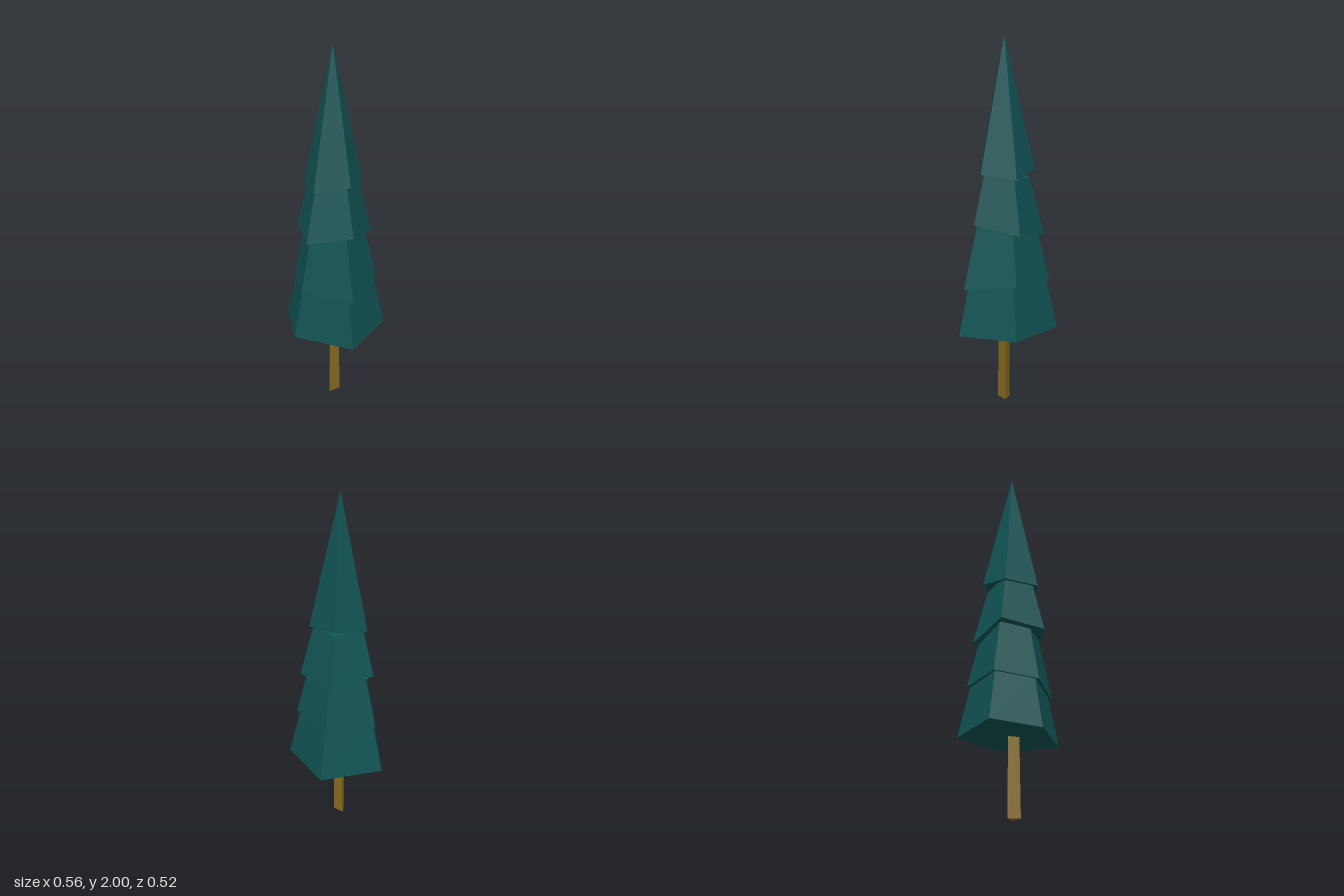
import * as THREE from 'three';

// Low-poly conifer: irregular pentagonal tiers on a three-sided trunk.
const AXIS = [0.004, 0.03]; // x, z of the tree's centre line

// Closed faceted solid between two rings (counter-clockwise seen from above).
function loft(bottom, top, material, name) {
  const pos = [];
  const tri = (...corners) => corners.forEach((c) => pos.push(...c));
  const middle = (ring) => [0, 1, 2].map((k) => ring.reduce((s, p) => s + p[k], 0) / ring.length);
  const low = middle(bottom), high = middle(top);
  bottom.forEach((a, i) => {
    const j = (i + 1) % bottom.length;
    const b = bottom[j], c = top[j], d = top[i];
    tri(a, b, c);
    tri(a, c, d);
    tri(low, b, a);
    tri(high, d, c);
  });
  const geometry = new THREE.BufferGeometry();
  geometry.setAttribute('position', new THREE.Float32BufferAttribute(pos, 3));
  geometry.computeVertexNormals();
  const mesh = new THREE.Mesh(geometry, material);
  mesh.name = name;
  return mesh;
}

// Moves each ring point towards a peak on the centre line by fraction t.
const shrink = (ring, peak, t) => ring.map(([x, y, z]) => [
  x + (AXIS[0] - x) * t, y + (peak - y) * t, z + (AXIS[1] - z) * t]);

// Lower rims: back, left, front left, front right, right; peak the sides aim at; cut fraction.
const TIERS = [
  { name: 'bottomTier', peak: 1.65, cut: 0.25, rim: [
    [0.005, 0.43, -0.26], [-0.278, 0.43, -0.055], [-0.17, 0.41, 0.198], [0.167, 0.41, 0.258], [0.277, 0.43, -0.065]] },
  { name: 'lowerTier', peak: 1.7, cut: 0.325, rim: [
    [-0.004, 0.705, -0.212], [-0.229, 0.705, -0.04], [-0.133, 0.685, 0.18], [0.163, 0.67, 0.23], [0.228, 0.715, -0.06]] },
  { name: 'upperTier', peak: 1.8, cut: 0.36, rim: [
    [-0.03, 0.945, -0.18], [-0.2, 1.01, -0.006], [-0.095, 0.98, 0.21], [0.149, 1.022, 0.173], [0.194, 0.98, -0.075]] },
  { name: 'topTier', peak: 2, cut: 1, rim: [
    [-0.025, 1.3, -0.13], [-0.155, 1.262, 0.01], [-0.062, 1.258, 0.176], [0.125, 1.288, 0.14], [0.147, 1.265, -0.053]] },
];

export function createModel() {
  const tree = new THREE.Group();
  tree.name = 'tree';
  const needles = new THREE.MeshStandardMaterial({ color: 0x115252, flatShading: true });
  const bark = new THREE.MeshStandardMaterial({ color: 0x866a1e, flatShading: true });

  // Trunk, slightly tapered and ending inside the foliage
  const foot = [[-0.022, 0, 0.005], [-0.005, 0, 0.07], [0.042, 0, 0.02]];
  const head = shrink(foot, 0, 0.15).map(([x, , z]) => [x, 0.5, z]);
  tree.add(loft(foot, head, bark, 'trunk'));

  // Foliage tiers
  for (const { name, peak, cut, rim } of TIERS) {
    tree.add(loft(rim, shrink(rim, peak, cut), needles, name));
  }
  return tree;
}
